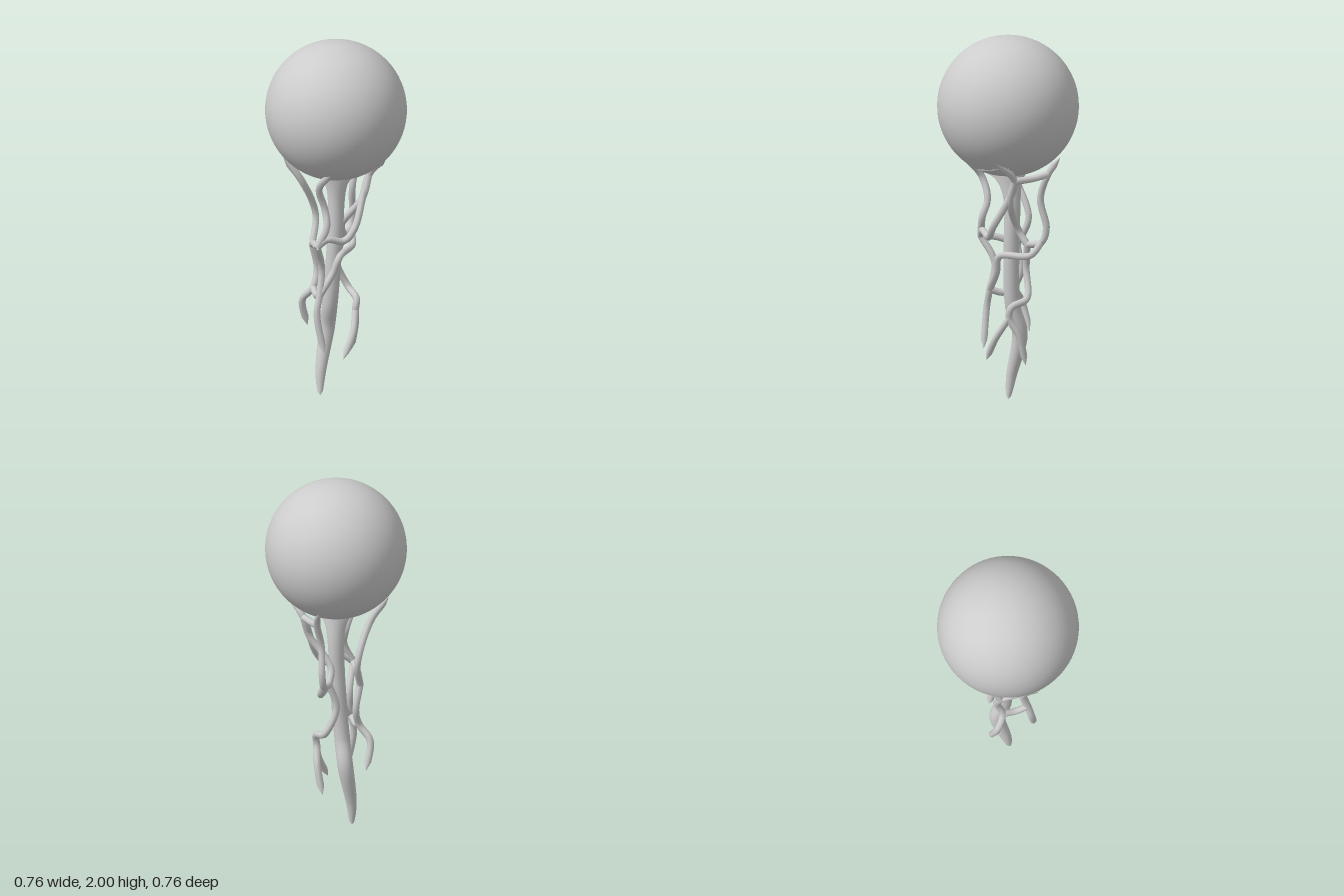
import * as THREE from 'three';

const vec = (x, y, z) => new THREE.Vector3(x, y, z);

// Tube along a smooth curve, with the radius given by a rule radiusAt(centre, u, length).
function taperedTube(points, steps, sides, radiusAt) {
  const curve = new THREE.CatmullRomCurve3(points, false, 'centripetal');
  const geo = new THREE.TubeGeometry(curve, steps, 1, sides, false);
  const pos = geo.attributes.position, nor = geo.attributes.normal;
  const length = curve.getLength();
  const p = vec(0, 0, 0);
  for (let i = 0; i <= steps; i++) {
    const u = i / steps;
    const centre = curve.getPointAt(u);
    const r = radiusAt(centre, u, length);
    for (let j = 0; j <= sides; j++) {
      const v = i * (sides + 1) + j;
      p.fromBufferAttribute(nor, v).multiplyScalar(r).add(centre);
      pos.setXYZ(v, p.x, p.y, p.z);
    }
  }
  return geo;
}

// Stem radius by height: flares into the head, narrows to a point at the foot.
function stemRadius({ y }) {
  const flare = 0.2 * Math.exp((y - 1.32) / 0.055);
  const foot = Math.min(1, Math.max(y, 0) / 0.35) ** 0.4;
  return 0.042 * foot + flare;
}

export function createModel() {
  const group = new THREE.Group();
  const grey = new THREE.MeshStandardMaterial({ color: 0xcccccc });
  grey.name = 'plain grey';
  const add = (name, geo) => {
    const mesh = new THREE.Mesh(geo, grey);
    mesh.name = name;
    group.add(mesh);
    return mesh;
  };

  // Round head
  add('head', new THREE.SphereGeometry(0.38, 64, 40)).position.y = 1.62;

  // Central stem with a bent tip
  add('stem', taperedTube([
    vec(0, 1.32, 0), vec(0.01, 1.1, -0.02), vec(0, 0.85, -0.02), vec(-0.02, 0.52, -0.035),
    vec(-0.02, 0.37, -0.075), vec(-0.07, 0.13, -0.045), vec(-0.08, 0, -0.03),
  ], 70, 16, stemRadius));

  // Vine of even thickness, sharpened at the chosen ends
  const addVine = (name, startTip, endTip, ...points) => {
    const radius = (centre, u, length) => Math.min(
      0.019,
      startTip ? 0.001 + 0.35 * u * length : 1,
      endTip ? 0.001 + 0.35 * (1 - u) * length : 1,
    );
    add(name, taperedTube(points, points.length * 6, 8, radius));
  };

  // Joints where vines meet
  const leftFork = vec(0.18, 1.24, 0.03);
  const leftBackFork = vec(0.19, 1.27, -0.16);
  const leftElbow = vec(0.14, 0.89, -0.14);
  const leftKnot = vec(0.08, 0.87, -0.08);
  const frontFork = vec(0.1, 0.48, 0.03);
  const rightKnot = vec(-0.15, 0.89, 0.1);
  const rightBackKnot = vec(-0.1, 0.84, -0.09);
  const rightLowJoint = vec(-0.12, 0.6, 0.06);
  const rightBackLowJoint = vec(-0.1, 0.6, -0.08);

  // Left side vines
  addVine('leftBackVine', true, false, vec(0.21, 1.36, -0.22), leftBackFork,
    vec(0.15, 1.13, -0.13), vec(0.16, 0.97, -0.16), leftElbow, leftKnot);
  addVine('leftFrontVine', true, false, vec(0.22, 1.36, 0.16), leftFork,
    vec(0.06, 0.97, 0.11), vec(0, 0.91, 0.11), vec(-0.1, 0.93, 0.11), rightKnot);
  addVine('leftBridge', false, false, leftFork, vec(0.18, 1.25, -0.08), leftBackFork);
  addVine('leftInnerVine', false, false, leftFork, vec(0.14, 1.12, 0.04),
    vec(0.05, 0.95, -0.04), leftKnot);
  addVine('leftLowerVine', false, true, leftKnot, vec(0.04, 0.73, -0.09),
    vec(0.1, 0.58, -0.07), vec(0.11, 0.54, 0.02), frontFork,
    vec(0.12, 0.38, -0.02), vec(0.11, 0.22, -0.06));
  addVine('frontBranch', false, true, frontFork, vec(0.06, 0.37, 0.09), vec(-0.01, 0.24, 0.12));
  addVine('crossingVine', false, false, leftElbow, vec(0.13, 0.82, -0.08),
    vec(0, 0.8, 0.05), vec(-0.04, 0.71, 0.05), rightLowJoint);

  // Right side vines
  addVine('rightFrontVine', true, false, vec(-0.11, 1.34, 0.21), vec(-0.14, 1.22, 0.1),
    vec(-0.1, 1.1, 0.08), vec(-0.1, 1, 0.11), rightKnot);
  addVine('rightFrontLowerVine', false, true, rightKnot, vec(-0.1, 0.75, 0.04), rightLowJoint,
    vec(-0.14, 0.5, 0.07), vec(-0.11, 0.28, 0.1));
  addVine('rightBackVine', true, false, vec(-0.25, 1.34, -0.13), vec(-0.16, 1.21, -0.1),
    vec(-0.06, 0.99, -0.14), rightBackKnot);
  addVine('rightBackLowerVine', false, true, rightBackKnot, vec(-0.07, 0.7, -0.1),
    rightBackLowJoint, vec(-0.14, 0.52, -0.13), vec(-0.1, 0.36, -0.16));

  // Cross links between the right side vines
  addVine('rightUpperBridge', false, false, rightKnot, vec(-0.13, 0.88, 0.01), rightBackKnot);
  addVine('rightLowerBridge', false, false, rightLowJoint, vec(-0.11, 0.58, -0.01),
    rightBackLowJoint);
  return group;
}
